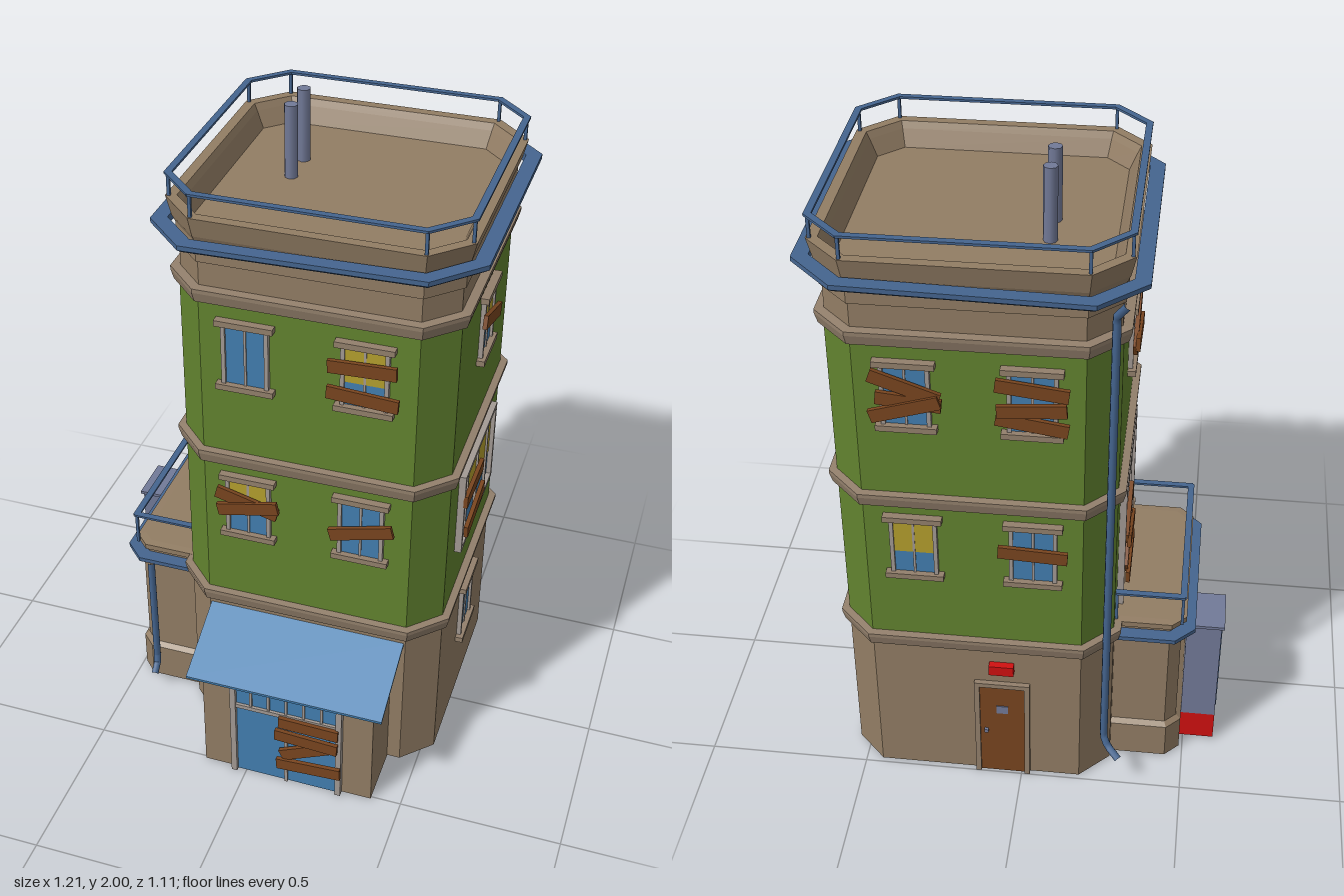
import * as THREE from 'three';

const mat = (name, color) => Object.assign(new THREE.MeshStandardMaterial({ color }), { name });
const M = {
  tan: mat('tan plaster', 0x927d64),
  green: mat('green wall', 0x62832f),
  glass: mat('blue glass', 0x427eb0),
  pipe: mat('pipe blue', 0x45658f),
  frame: mat('pale frame', 0xa39a94),
  sill: mat('sill brown', 0x93806c),
  wood: mat('plank brown', 0x79451f),
  yellow: mat('yellow blind', 0xb49f2d),
  red: mat('red', 0xd01010),
  grey: mat('blue grey', 0x727a98),
};

function add(parent, name, geo, material, x = 0, y = 0, z = 0) {
  const m = new THREE.Mesh(geo, material);
  m.name = name;
  m.position.set(x, y, z);
  parent.add(m);
  return m;
}
const box = (parent, name, material, w, h, d, x, y, z) =>
  add(parent, name, new THREE.BoxGeometry(w, h, d), material, x, y, z);

// Corners of a rectangle with cut corners, grown outwards by d
function octagon({ hx, hz, c }, d) {
  const a = hx + d, b = hz + d, k = c + d * 0.586;
  return [[a, -b + k], [a, b - k], [a - k, b], [-a + k, b], [-a, b - k], [-a, -b + k], [-a + k, -b], [a - k, -b]];
}

// Sweep a profile of [offset, height] around an octagon; closed makes a ring
function loft(plan, profile, closed = false) {
  const pos = [];
  const rings = profile.map(([d, y]) => octagon(plan, d).map(([x, z]) => [x, y, z]));
  if (closed) rings.push(rings[0]);
  for (let j = 0; j < rings.length - 1; j++) {
    for (let i = 0; i < 8; i++) {
      const n = (i + 1) % 8;
      const a = rings[j][i], b = rings[j][n], c = rings[j + 1][n], e = rings[j + 1][i];
      pos.push(...a, ...e, ...b, ...b, ...e, ...c);
    }
  }
  if (!closed) {
    const lo = rings[0], hi = rings[rings.length - 1];
    for (let i = 0; i < 8; i++) {
      const n = (i + 1) % 8;
      pos.push(0, hi[0][1], 0, ...hi[n], ...hi[i], 0, lo[0][1], 0, ...lo[i], ...lo[n]);
    }
  }
  const g = new THREE.BufferGeometry();
  g.setAttribute('position', new THREE.Float32BufferAttribute(pos, 3));
  g.computeVertexNormals();
  return g;
}

// Side outline in (z, y) extruded across x
function across(points, width) {
  const g = new THREE.ExtrudeGeometry(new THREE.Shape(points.map(p => new THREE.Vector2(...p))), { depth: width, bevelEnabled: false });
  return g.translate(0, 0, -width / 2).rotateY(-Math.PI / 2);
}

function tube(parent, name, points) {
  const path = new THREE.CurvePath();
  const v = points.map(p => new THREE.Vector3(...p));
  for (let i = 1; i < v.length; i++) path.add(new THREE.LineCurve3(v[i - 1], v[i]));
  add(parent, name, new THREE.TubeGeometry(path, 80, 0.012, 8), M.pipe);
}

// Planks given as [x, y, length, tilt]
function planks(parent, list, z) {
  list.forEach(([x, y, len, tilt], i) => {
    box(parent, 'plank', M.wood, len, 0.04, 0.013, x, y, z + (i % 2) * 0.008).rotation.z = tilt;
  });
}

// Small sash window with sill and lintel; y is its middle
function sashWindow(wall, x, y, { blind = 0, boards = [] } = {}) {
  const g = new THREE.Group();
  g.name = 'window';
  g.position.set(x, y, 0);
  wall.add(g);
  box(g, 'glass', M.glass, 0.125, 0.2, 0.008, 0, 0, 0.002);
  if (blind) box(g, 'blind', M.yellow, 0.12, blind, 0.006, 0, 0.1 - blind / 2, 0.005);
  for (const s of [-1, 1]) {
    box(g, 'jamb', M.frame, 0.012, 0.2, 0.018, s * 0.063, 0, 0.005);
    box(g, s > 0 ? 'lintel' : 'sill', M.sill, 0.17, 0.018, 0.04, 0, s * 0.103, 0.004);
  }
  box(g, 'mullion', M.frame, 0.007, 0.2, 0.012, 0, 0, 0.004);
  planks(g, boards, 0.02);
}

// Glazed shopfront with a transom; y is its foot
function shopfront(wall, x, y, z, w, h, panes, boards) {
  const g = new THREE.Group();
  g.name = 'shopfront';
  g.position.set(x, y, z);
  wall.add(g);
  const t = h - 0.09;
  box(g, 'glass', M.glass, w, h, 0.008, 0, h / 2, 0.003);
  for (const s of [-1, 1]) box(g, 'jamb', M.frame, 0.018, h, 0.024, s * w / 2, h / 2, 0.008);
  box(g, 'head', M.frame, w + 0.018, 0.018, 0.024, 0, h - 0.009, 0.008);
  box(g, 'transom', M.frame, w, 0.014, 0.02, 0, t, 0.006);
  for (let i = 1; i < 6; i++) box(g, 'transom bar', M.frame, 0.008, h - t, 0.016, -w / 2 + i * w / 6, (h + t) / 2, 0.005);
  for (let i = 1; i < panes; i++) box(g, 'mullion', M.frame, 0.01, t, 0.018, -w / 2 + i * w / panes, t / 2, 0.006);
  planks(g, boards, 0.022);
}

// Flat handrail along a path of [x, z] with posts
function railing(parent, path, y0, y1) {
  const g = new THREE.Group();
  g.name = 'railing';
  parent.add(g);
  path.forEach(([x, z], i) => {
    box(g, 'post', M.pipe, 0.009, y1 - y0, 0.009, x, (y0 + y1) / 2, z);
    if (!i) return;
    const [px, pz] = path[i - 1];
    const len = Math.hypot(x - px, z - pz);
    box(g, 'rail', M.pipe, len + 0.01, 0.007, 0.02, (x + px) / 2, y1, (z + pz) / 2).rotation.y = -Math.atan2(z - pz, x - px);
  });
}

export function createModel() {
  const root = new THREE.Group();
  root.name = 'building';
  const CX = 0.133, CZ = -0.084;

  // Tower
  const tower = new THREE.Group();
  tower.name = 'tower';
  tower.position.set(CX, 0, CZ);
  root.add(tower);
  const plan = { hx: 0.404, hz: 0.404, c: 0.09 };
  add(tower, 'groundFloor', loft(plan, [[0, 0.01], [0, 0.54]]), M.tan);
  add(tower, 'upperFloors', loft(plan, [[0, 0.54], [0, 1.61]]), M.green);
  for (const y of [0.525, 1.055, 1.592]) {
    add(tower, 'floorBand', loft(plan, [[0, y], [0.014, y], [0.022, y + 0.03], [0.022, y + 0.042], [0, y + 0.044]]), M.sill);
  }
  add(tower, 'parapet', loft(plan, [[-0.004, 1.61], [-0.004, 1.71], [0.003, 1.71], [0.003, 1.77], [0.012, 1.79],
    [0.026, 1.85], [-0.004, 1.85], [-0.014, 1.83], [-0.036, 1.78]]), M.tan);
  const gutter = add(tower, 'roofGutter', loft(plan, [[0.022, -0.012], [0.05, -0.014], [0.066, -0.002], [0.066, 0.012], [0.022, 0.012]], true), M.pipe, 0, 1.781, 0);
  gutter.rotation.z = 0.02;
  const ring = octagon(plan, 0.016);
  railing(tower, [...ring, ring[0]], 1.84, 1.917);
  for (const z of [-0.107, -0.222]) {
    add(root, 'chimneyPipe', new THREE.CylinderGeometry(0.02, 0.02, 0.24, 8), M.grey, -0.055, 1.88, z);
  }
  tube(root, 'rearDownpipe', [[-0.285, 1.76, -0.5], [-0.255, 1.71, -0.473], [-0.255, 0.18, -0.473], [-0.268, 0.15, -0.485], [-0.305, 0.128, -0.518]]);

  // Walls: local +z points outwards
  const wall = (name, x, z, turn) => {
    const g = new THREE.Group();
    g.name = name;
    g.position.set(x, 0, z);
    g.rotation.y = turn;
    root.add(g);
    return g;
  };
  const front = wall('frontWall', CX, 0.32, 0);
  const side = wall('leftWall', 0.537, CZ, Math.PI / 2);
  const back = wall('backWall', CX, -0.488, Math.PI);
  const annexSide = wall('rightWall', -0.271, CZ, -Math.PI / 2);
  const W = 0.172, Y3 = 1.435, Y2 = 0.91;

  sashWindow(front, -W - 0.006, Y3);
  sashWindow(front, W - 0.006, Y3, { blind: 0.12, boards: [[-0.005, 0.035, 0.195, 0.04], [0, -0.053, 0.205, -0.06]] });
  sashWindow(front, -W - 0.006, Y2, { blind: 0.1, boards: [[0, 0.025, 0.195, -0.26], [0.005, 0.012, 0.19, 0.22]] });
  sashWindow(front, W - 0.006, Y2, { boards: [[0.004, 0, 0.195, 0.26]] });

  sashWindow(side, 0, Y3, { blind: 0.1, boards: [[0.005, 0.01, 0.215, -0.32]] });
  sashWindow(side, 0, 0.37);
  sashWindow(back, -W, Y3, { boards: [[0, 0.035, 0.2, -0.35], [0, -0.03, 0.2, 0.3], [0.01, -0.01, 0.18, -0.1]] });
  sashWindow(back, W, Y3, { boards: [[0, 0.05, 0.2, -0.12], [0, -0.01, 0.19, 0.08], [0, -0.06, 0.2, -0.15]] });
  sashWindow(back, -W, Y2, { blind: 0.12 });
  sashWindow(back, W, Y2, { boards: [[0, 0.01, 0.2, -0.05]] });
  sashWindow(annexSide, 0, Y3, { boards: [[0, 0.02, 0.2, 0.4], [0, -0.01, 0.2, -0.15]] });

  // Wide window on the left wall
  const wide = new THREE.Group();
  wide.name = 'wideWindow';
  wide.position.set(0, 0.872, 0);
  side.add(wide);
  box(wide, 'glass', M.glass, 0.4, 0.27, 0.008, 0, 0, 0.002);
  box(wide, 'blind', M.yellow, 0.2, 0.16, 0.006, -0.1, 0.05, 0.005);
  box(wide, 'blind', M.yellow, 0.135, 0.205, 0.006, 0.065, 0.03, 0.005);
  box(wide, 'blind', M.yellow, 0.06, 0.17, 0.006, 0.165, 0.045, 0.005);
  for (const s of [-1, 1]) {
    box(wide, 'frameSide', M.frame, 0.014, 0.28, 0.026, s * 0.2, 0, 0.008);
    box(wide, 'frameRail', M.frame, 0.414, 0.014, 0.026, 0, s * 0.134, 0.008);
  }
  for (const x of [-0.133, 0, 0.133]) box(wide, 'mullion', M.frame, 0.008, 0.27, 0.016, x, 0, 0.006);
  planks(wide, [[-0.1, 0.048, 0.215, -0.03], [-0.105, -0.043, 0.22, 0.09]], 0.024);

  // Entrance porch and awning
  add(root, 'porch', across([[0.3, 0.005], [0.508, 0.005], [0.508, 0.4], [0.3, 0.495]], 0.546), M.tan, CX, 0, 0);
  add(root, 'awning', across([[0.318, 0.503], [0.553, 0.393], [0.553, 0.385], [0.318, 0.494]], 0.618), M.glass, CX, 0, 0);
  shopfront(front, 0, 0.005, 0.188, 0.34, 0.372, 2,
    [[0.075, 0.262, 0.19, -0.02], [0.07, 0.213, 0.2, -0.05], [0.07, 0.165, 0.18, 0.45], [0.078, 0.1, 0.205, 0.06]]);
  shopfront(annexSide, 0.01, 0.565, 0, 0.42, 0.445, 4,
    [[-0.11, 0.28, 0.2, 0.3], [-0.11, 0.22, 0.2, -0.25], [-0.11, 0.17, 0.19, 0.45], [-0.11, 0.11, 0.2, 0.05]]);

  // Back door with red lamp
  const door = new THREE.Group();
  door.name = 'backDoor';
  door.position.set(0.075, 0, 0);
  back.add(door);
  box(door, 'doorLeaf', M.wood, 0.14, 0.365, 0.012, 0, 0.193, 0.002);
  for (const s of [-1, 1]) box(door, 'doorJamb', M.sill, 0.016, 0.38, 0.024, s * 0.077, 0.2, 0.004);
  box(door, 'doorHead', M.sill, 0.17, 0.016, 0.024, 0, 0.384, 0.004);
  box(door, 'doorPane', M.grey, 0.035, 0.03, 0.006, 0, 0.28, 0.008);
  box(door, 'doorHandle', M.grey, 0.012, 0.012, 0.012, -0.05, 0.19, 0.012);
  box(door, 'lamp', M.red, 0.075, 0.035, 0.03, 0, 0.455, 0.008);

  // Annex
  const annex = new THREE.Group();
  annex.name = 'annex';
  annex.position.set(-0.33, 0, CZ);
  root.add(annex);
  const small = { hx: 0.144, hz: 0.272, c: 0.035 };
  add(annex, 'annexWalls', loft(small, [[0.015, 0.01], [0.015, 0.132], [0, 0.145], [0, 0.545], [0.014, 0.55], [0.014, 0.568], [-0.01, 0.57]]), M.tan);
  add(annex, 'annexGutter', loft(small, [[0, 0.51], [0.03, 0.51], [0.042, 0.518], [0.042, 0.532], [0, 0.532]], true), M.pipe);
  railing(annex, [[0.055, -0.272], [-0.144, -0.272], [-0.144, 0.272], [0.055, 0.272]], 0.565, 0.672);
  tube(root, 'annexDownpipe', [[-0.42, 0.515, 0.222], [-0.42, 0.12, 0.222], [-0.417, 0.09, 0.232], [-0.412, 0.072, 0.27]]);

  // Vending machine against the annex
  const machine = new THREE.Group();
  machine.name = 'vendingMachine';
  machine.position.set(-0.543, 0, -0.21);
  root.add(machine);
  box(machine, 'machineBase', M.red, 0.108, 0.1, 0.145, 0, 0.066, 0);
  box(machine, 'machineBody', M.grey, 0.108, 0.374, 0.145, 0, 0.303, 0);
  box(machine, 'machineTop', M.grey, 0.122, 0.01, 0.155, -0.002, 0.493, 0);
  box(machine, 'machineScreen', M.pipe, 0.006, 0.27, 0.1, -0.054, 0.32, 0.005);
  box(machine, 'machineTray', M.pipe, 0.006, 0.03, 0.09, -0.054, 0.15, 0);
  return root;
}
